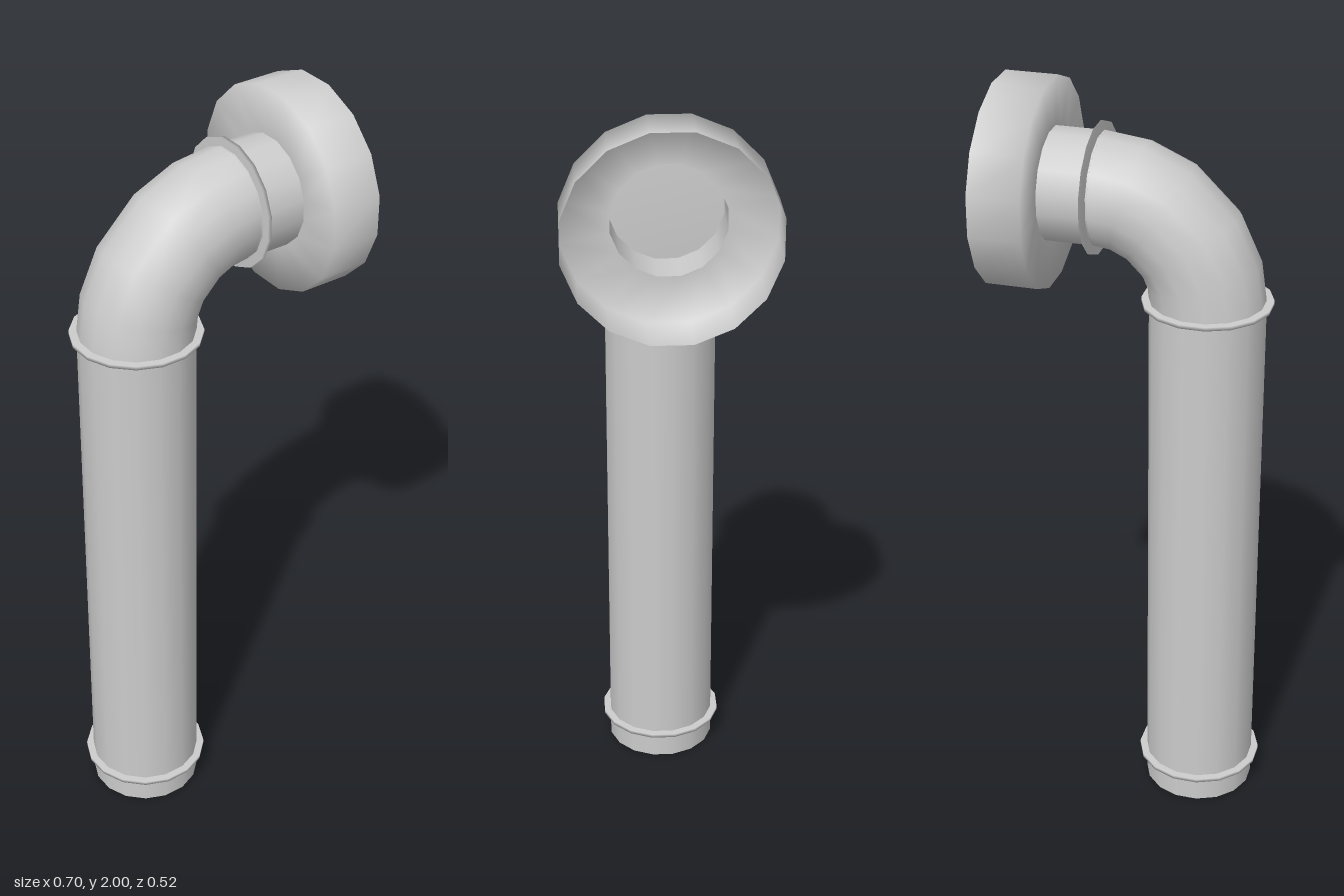
import * as THREE from 'three';
import { mergeVertices } from 'three/addons/utils/BufferGeometryUtils.js';

const SIDES = 16;
const AXIS_X = -0.185;   // centre line of the upright pipe
const BEND_Y = 1.468;    // height where the bend starts
const BEND_R = 0.27;     // bend radius of the centre line
const TOP_Y = BEND_Y + BEND_R;
const BEND_X = AXIS_X + BEND_R;

const material = new THREE.MeshStandardMaterial({ color: 0xcccccc, side: THREE.DoubleSide });

// Turned part with flats facing the axes; profile is [radius, height] pairs
function turned(profile) {
  const points = profile.map(([r, h]) => new THREE.Vector2(r, h));
  return new THREE.LatheGeometry(points, SIDES, Math.PI / SIDES, Math.PI * 2);
}

// Quarter bend: a tube whose height is the bend angle, then wrapped round the bend centre
function elbowGeometry() {
  const angles = [0, 15.3, 33.6, 56.4, 74.7, 90].map(THREE.MathUtils.degToRad);
  const geometry = turned(angles.map((a, i) => [0.1475 - 0.0008 * i, a]));
  const pos = geometry.attributes.position;
  for (let i = 0; i < pos.count; i++) {
    const a = pos.getY(i);
    const r = BEND_R - pos.getX(i);
    pos.setXY(i, BEND_X - r * Math.cos(a), BEND_Y + r * Math.sin(a));
  }
  geometry.deleteAttribute('uv');
  geometry.deleteAttribute('normal');
  const welded = mergeVertices(geometry, 1e-5);
  welded.computeVertexNormals();
  return welded;
}

export function createModel() {
  const model = new THREE.Group();
  model.name = 'elbowPipe';

  function add(name, geometry, parent) {
    const mesh = new THREE.Mesh(geometry, material);
    mesh.name = name;
    parent.add(mesh);
    return mesh;
  }

  // Thin solid disc that passes through the pipe and shows as a collar
  const collar = (h) => turned([[0, h - 0.005], [0.1665, h - 0.005], [0.1665, h + 0.005], [0, h + 0.005]]);

  // Upright pipe, open at the foot
  const upright = new THREE.Group();
  upright.name = 'upright';
  upright.position.x = AXIS_X;
  add('uprightPipe', turned([[0.1475, 0], [0.1475, BEND_Y]]), upright);
  add('lowerCollar', collar(0.078), upright);
  add('upperCollar', collar(BEND_Y), upright);
  model.add(upright);

  add('elbow', elbowGeometry(), model);

  // Sideways outlet: stub, collar and wide open cup, turned so height runs along +x
  const outlet = new THREE.Group();
  outlet.name = 'outlet';
  outlet.position.y = TOP_Y;
  outlet.rotation.z = -Math.PI / 2;
  add('outletStub', turned([[0.1437, BEND_X], [0.1437, 0.213]]), outlet);
  add('outletCollar', collar(0.094), outlet);
  add('outletCup', turned([[0.1437, 0.213], [0.267, 0.213], [0.267, 0.347]]), outlet);
  model.add(outlet);

  return model;
}
